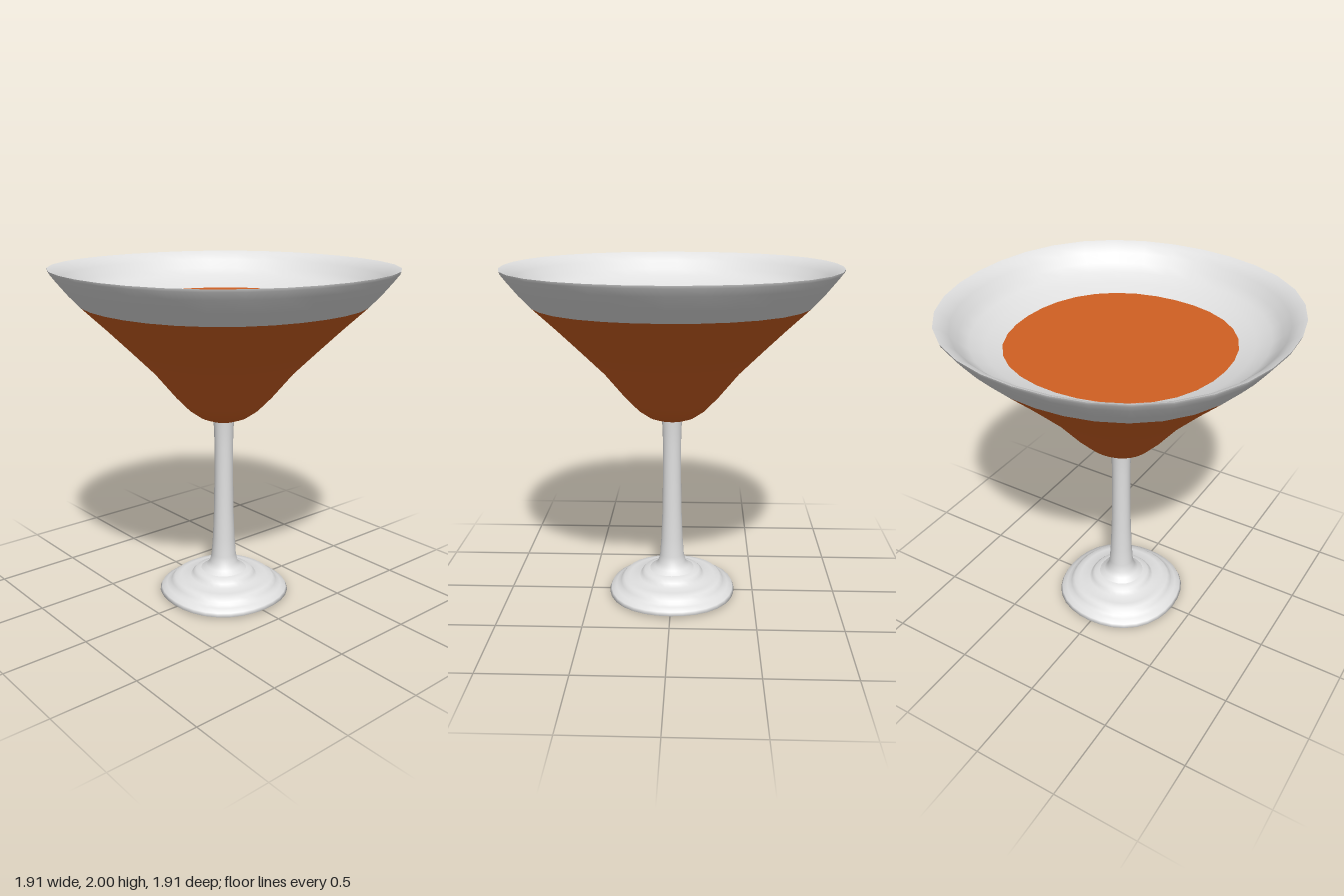
import * as THREE from 'three';

const SEGMENTS = 32;

// Smooth turned surface whose plan is very slightly squared between the axes
function turned(name, profile, material) {
  const geometry = new THREE.LatheGeometry(
    profile.map(([r, y]) => new THREE.Vector2(r, y)), SEGMENTS);
  const p = geometry.attributes.position;
  for (let i = 0; i < p.count; i++) {
    const s = Math.sin(2 * Math.atan2(p.getZ(i), p.getX(i)));
    const k = 1 + 0.03 * s * s;
    p.setXYZ(i, p.getX(i) * k, p.getY(i), p.getZ(i) * k);
  }
  const mesh = new THREE.Mesh(geometry, material);
  mesh.name = name;
  return mesh;
}

export function createModel() {
  const glass = new THREE.MeshStandardMaterial({ color: 0xe0e0e0, side: THREE.DoubleSide });
  glass.name = 'pale glass';
  const drink = new THREE.MeshStandardMaterial({ color: 0xd06022, side: THREE.DoubleSide });
  drink.name = 'orange drink';

  const group = new THREE.Group();
  group.name = 'cocktailGlass';
  group.add(
    // Flat underside of the foot
    turned('footUnderside', [[0, 0.005], [0.2, 0.006], [0.365, 0.012]], glass),

    // Stepped foot
    turned('foot', [
      [0.365, 0.012], [0.385, 0.02], [0.375, 0.04], [0.345, 0.056], [0.325, 0.064],
      [0.315, 0.08], [0.295, 0.1], [0.26, 0.106], [0.2, 0.108],
      [0.185, 0.13], [0.168, 0.148], [0.135, 0.155],
    ], glass),

    // Stem flaring into the foot
    turned('stem', [
      [0.135, 0.155], [0.105, 0.175], [0.083, 0.2], [0.073, 0.25], [0.065, 0.36],
      [0.058, 0.55], [0.055, 0.75], [0.054, 0.95], [0.056, 1.04], [0.06, 1.112],
    ], glass),

    // Small pad where the stem meets the bowl
    turned('bowlPad', [[0.05, 1.107], [0.09, 1.113]], glass),

    // Filled part of the bowl
    turned('filledBowl', [
      [0.09, 1.113], [0.14, 1.132], [0.2, 1.175], [0.28, 1.26], [0.4, 1.408],
      [0.53, 1.54], [0.66, 1.67], [0.795, 1.8],
    ], drink),

    // Outer wall above the drink
    turned('rimOutside', [
      [0.795, 1.8], [0.86, 1.87], [0.92, 1.945], [0.95, 1.985], [0.955, 2.0],
    ], glass),

    // Curved inner wall down to the drink
    turned('rimInside', [
      [0.955, 2.0], [0.92, 1.985], [0.88, 1.95], [0.84, 1.9], [0.79, 1.86],
      [0.71, 1.825], [0.62, 1.797],
    ], glass),

    // Drink surface
    turned('drinkSurface', [[0.622, 1.8], [0, 1.8]], drink),
  );
  return group;
}
